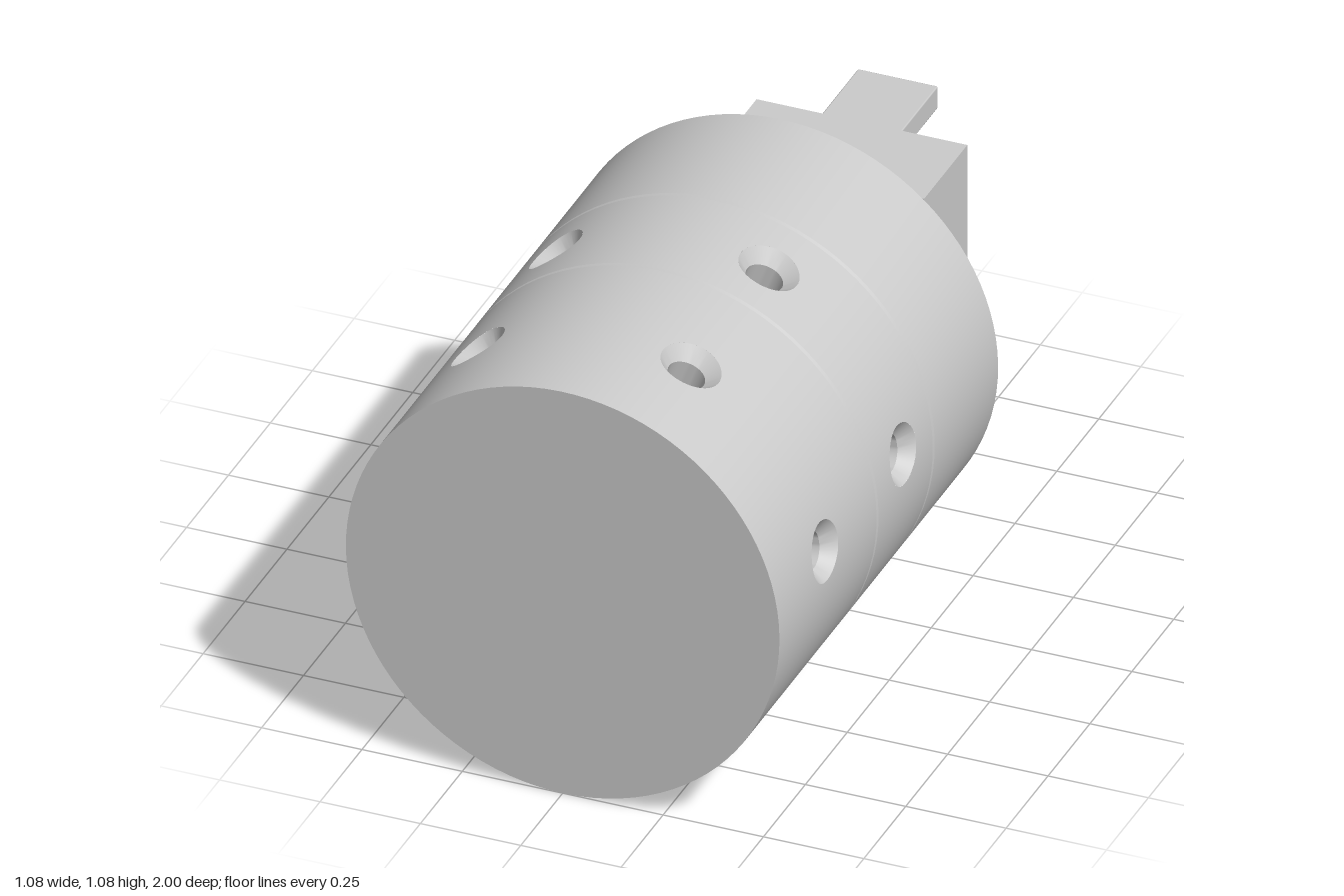
import * as THREE from 'three';
import { toCreasedNormals } from 'three/addons/utils/BufferGeometryUtils.js';
import { RoundedBoxGeometry } from 'three/addons/geometries/RoundedBoxGeometry.js';

const R = 0.54;            // body radius
const BEVEL = 0.006;       // chamfer on seams and the rear rim
const HOLE = 0.075;        // countersink radius
const SECTORS = 6, STEPS = 16;
const material = new THREE.MeshStandardMaterial({ color: 0xcccccc });

function add(parent, name, geometry, x = 0, y = 0, z = 0) {
  const mesh = new THREE.Mesh(geometry, material);
  mesh.name = name;
  mesh.position.set(x, y, z);
  parent.add(mesh);
  return mesh;
}

// Box given by its centre in x and its y and z ranges
function addBox(parent, name, width, y0, y1, z0, z1) {
  return add(parent, name, new THREE.BoxGeometry(width, y1 - y0, z1 - z0), 0, (y0 + y1) / 2, (z0 + z1) / 2);
}

// Turned surface around the z axis from [radius, z] pairs
function turned(profile) {
  const g = new THREE.LatheGeometry(profile.map(([r, z]) => new THREE.Vector2(r, z)), SECTORS * STEPS);
  return toCreasedNormals(g.rotateX(Math.PI / 2), 0.5);
}

// One sixth of a cylindrical band, with a round opening centred at zHole
function bandSector(z0, z1, zHole) {
  const half = Math.PI / SECTORS, side = STEPS, rings = 8;
  const corners = [[-half, z0], [half, z0], [half, z1], [-half, z1]];
  const positions = [], normals = [], index = [];
  const count = side * 4;
  for (let i = 0; i <= rings; i++) {
    for (let j = 0; j < count; j++) {
      const k = Math.floor(j / side), t = (j % side) / side;
      const [a0, b0] = corners[k], [a1, b1] = corners[(k + 1) % 4];
      const outA = a0 + (a1 - a0) * t, outZ = b0 + (b1 - b0) * t;
      const dir = Math.atan2(outZ - zHole, outA * R);
      const inA = Math.asin(HOLE * Math.cos(dir) / R), inZ = zHole + HOLE * Math.sin(dir);
      const f = i / rings;
      const a = inA + (outA - inA) * f, z = inZ + (outZ - inZ) * f;
      positions.push(R * Math.cos(a), R * Math.sin(a), z);
      normals.push(Math.cos(a), Math.sin(a), 0);
      if (i < rings) {
        const n = (j + 1) % count, p = i * count, q = p + count;
        index.push(p + j, q + j, q + n, p + j, q + n, p + n);
      }
    }
  }
  const g = new THREE.BufferGeometry();
  g.setAttribute('position', new THREE.Float32BufferAttribute(positions, 3));
  g.setAttribute('normal', new THREE.Float32BufferAttribute(normals, 3));
  g.setIndex(index);
  return g;
}

// Countersunk screw hole pointing along +x, its rim bent onto the body
function screwHole() {
  const profile = [[HOLE, R], [0.046, 0.505], [0.046, 0.43], [0, 0.43]];
  const g = new THREE.LatheGeometry(profile.map(([r, h]) => new THREE.Vector2(r, h)), 40);
  g.rotateZ(-Math.PI / 2);
  const p = g.attributes.position;
  for (let i = 0; i < p.count; i++) {
    if (p.getX(i) > R - 0.001) p.setX(i, Math.sqrt(R * R - p.getY(i) ** 2));
  }
  return toCreasedNormals(g, 0.5);
}

function createBody() {
  const body = new THREE.Group();
  body.name = 'body';
  body.position.y = R;
  body.rotation.z = THREE.MathUtils.degToRad(8);
  const rear = -0.31, seamA = 0.08, seamB = 0.415, front = 1;

  // Plain rear ring, seams and front face
  add(body, 'rearRing', turned([[0, rear], [R - BEVEL, rear], [R, rear + BEVEL],
    [R, seamA - BEVEL], [R - BEVEL, seamA], [R, seamA + BEVEL]]));
  add(body, 'middleSeam', turned([[R, seamB - BEVEL], [R - BEVEL, seamB], [R, seamB + BEVEL]]));
  add(body, 'frontFace', turned([[R, front], [0, front]]));

  // Two drilled rings
  const bands = [
    ['middleRing', seamA + BEVEL, seamB - BEVEL, 0.25],
    ['frontRing', seamB + BEVEL, front, 0.715],
  ];
  const hole = screwHole();
  for (const [name, z0, z1, zHole] of bands) {
    const sector = bandSector(z0, z1, zHole);
    for (let k = 0; k < SECTORS; k++) {
      const angle = k * Math.PI * 2 / SECTORS;
      add(body, name, sector).rotation.z = angle;
      add(body, 'screwHole', hole, 0, 0, zHole).rotation.z = angle;
    }
  }
  return body;
}

function createGripper() {
  const gripper = new THREE.Group();
  gripper.name = 'gripper';
  gripper.position.y = R;
  const h = 0.2625, back = -0.785, slotFloor = -0.685;

  // Mounting block and solid part of the jaw housing
  add(gripper, 'mountingBlock', new RoundedBoxGeometry(2 * h, 2 * h, 0.235, 1, 0.005), 0, 0, -0.4075);
  addBox(gripper, 'jawHousing', 2 * h, -h, h, slotFloor, -0.527);

  // Rear plate with two staggered finger slots
  const plate = new THREE.Shape([[-h, -h], [h, -h], [h, h], [-h, h]].map(([x, y]) => new THREE.Vector2(x, y)));
  for (const s of [1, -1]) {
    plate.holes.push(new THREE.Path([[0, 0.023], [0, 0.203], [0.05, 0.203], [0.05, 0.023]]
      .map(([x, y]) => new THREE.Vector2(s * x, s * y))));
  }
  add(gripper, 'slottedPlate', new THREE.ExtrudeGeometry(plate, { depth: slotFloor - back, bevelEnabled: false }), 0, 0, back);

  // Upper and lower fingers
  for (const s of [1, -1]) {
    const finger = new RoundedBoxGeometry(0.2, 0.06, 0.225, 1, 0.004);
    add(gripper, s > 0 ? 'upperFinger' : 'lowerFinger', finger, 0, s * (h - 0.03), -0.8875);
  }

  // Air ports underneath
  for (const z of [-0.41, -0.66]) {
    add(gripper, 'port', new THREE.CylinderGeometry(0.026, 0.026, 0.05, 24), 0, -h - 0.015, z);
  }
  return gripper;
}

export function createModel() {
  const model = new THREE.Group();
  model.name = 'gripperUnit';
  model.add(createBody(), createGripper());
  return model;
}
